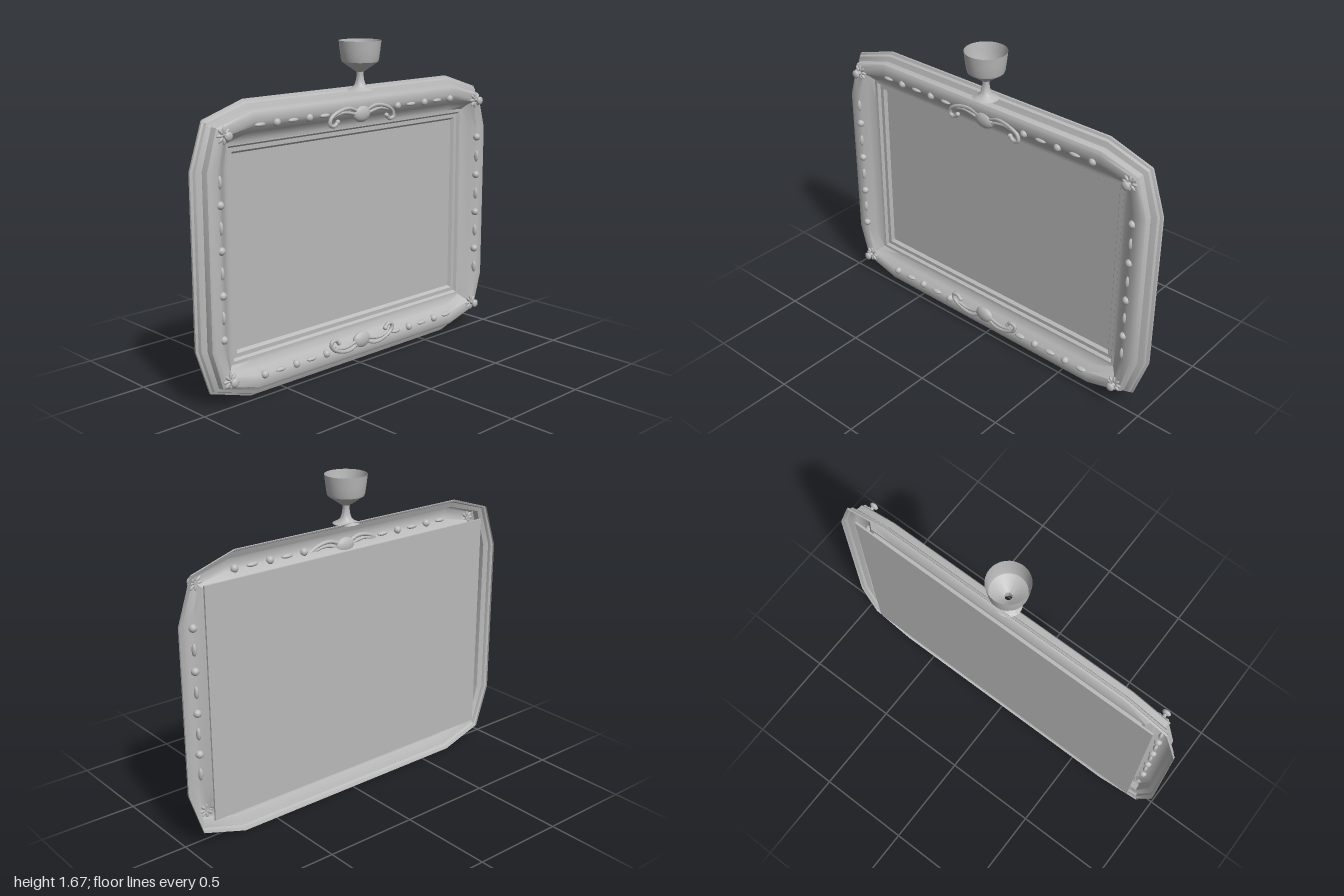
import * as THREE from 'three';
import { toCreasedNormals } from 'three/addons/utils/BufferGeometryUtils.js';

const MID = 0.72; // height of the frame's centre

export function createModel() {
  const model = new THREE.Group();
  const grey = new THREE.MeshStandardMaterial({ color: 0xbababa, side: THREE.DoubleSide });
  grey.name = 'plain grey';

  const add = (name, geometry, x = 0, y = 0, z = 0, parent = model) => {
    const mesh = new THREE.Mesh(geometry, grey);
    mesh.name = name;
    mesh.position.set(x, y, z);
    parent.add(mesh);
    return mesh;
  };

  // Moulding: [inset from the outer edge, z], from the back rim to the opening
  const profile = [
    [0, -0.06], [0, -0.05], [0.012, -0.045], [0.018, -0.032], [0.045, -0.022],
    [0.05, 0.01], [0.065, 0.019], [0.1, 0.02], [0.12, 0.014], [0.15, -0.016],
    [0.185, -0.036], [0.205, -0.036], [0.215, -0.05], [0.235, -0.05], [0.248, -0.068],
  ];
  // Twelve-sided ring whose clipped corners sharpen towards the opening
  const ring = (d) => {
    const hx = 1 - d, hy = MID - d, c = 0.075 * Math.max(0, 1 - d / 0.2);
    const pts = [];
    for (const [sx, sy] of [[1, 1], [-1, 1], [-1, -1], [1, -1]]) {
      const corner = [[hx, 0.42], [hx - c, hy - c], [0.69, hy]];
      if (sx * sy < 0) corner.reverse();
      for (const [x, y] of corner) pts.push([sx * x, MID + sy * y]);
    }
    return pts;
  };
  const positions = [], indices = [], n = 12;
  profile.forEach(([d, z], i) => {
    ring(d).forEach(([x, y], j) => {
      positions.push(x, y, z);
      if (i === profile.length - 1) return;
      const a = i * n + j, b = i * n + (j + 1) % n;
      indices.push(a, b, b + n, a, b + n, a + n);
    });
  });
  const frame = new THREE.BufferGeometry();
  frame.setAttribute('position', new THREE.Float32BufferAttribute(positions, 3));
  frame.setIndex(indices);
  add('frameMoulding', toCreasedNormals(frame, 0.55));

  // Flat panel behind the opening
  add('backPanel', new THREE.BoxGeometry(1.74, 1.18, 0.01), 0, MID, -0.071);

  // Alternating round and long beads along the four sides
  const sphere = new THREE.SphereGeometry(1, 16, 10);
  const bead = (x, y, round, vertical) => {
    const m = add(round ? 'roundBead' : 'longBead', sphere, x, y, 0.014);
    if (round) m.scale.setScalar(0.02);
    else m.scale.set(vertical ? 0.011 : 0.032, vertical ? 0.032 : 0.011, 0.015);
  };
  for (let i = 0; i < 14; i++) {
    const x = -0.65 + i * 0.1;
    if (Math.abs(x) < 0.2) continue;
    bead(x, 1.325, i % 2 === 1, false);
    bead(x, 0.117, i % 2 === 0, false);
  }
  for (let i = 0; i < 8; i++) {
    const y = 1.09 - i * 0.106;
    bead(0.885, y, i % 2 === 0, true);
    bead(-0.887, y, i % 2 === 1, true);
  }

  // Oval medallions with curling scrolls at top and bottom centre
  const tube = (points, r) => new THREE.TubeGeometry(
    new THREE.CatmullRomCurve3(points.map((p) => new THREE.Vector3(...p))), 36, r, 8);
  const scrollPaths = (s) => [
    tube([[0.03 * s, 0.015, 0.012], [0.09 * s, 0.035, 0.016], [0.16 * s, 0.025, 0.018],
      [0.212 * s, -0.005, 0.018], [0.218 * s, -0.035, 0.018], [0.19 * s, -0.043, 0.018],
      [0.168 * s, -0.024, 0.018]], 0.01),
    tube([[0.03 * s, -0.005, 0.012], [0.08 * s, 0.01, 0.014], [0.13 * s, 0.016, 0.014],
      [0.185 * s, 0.005, 0.014]], 0.008),
  ];
  for (const [name, y, flip] of [['topOrnament', 1.31, 0], ['bottomOrnament', 0.13, Math.PI]]) {
    const ornament = new THREE.Group();
    ornament.name = name;
    ornament.position.set(0, y, 0);
    const scrolls = new THREE.Group();
    scrolls.name = 'scrolls';
    for (const s of [1, -1]) {
      for (const g of scrollPaths(s)) add('scroll', g, 0, 0, 0, scrolls);
      add('scrollTip', sphere, 0.168 * s, -0.024, 0.018, scrolls).scale.setScalar(0.012);
    }
    // half turn in the plane of the frame points the curls towards the centre
    scrolls.rotation.z = flip;
    ornament.add(scrolls);
    add('medallion', sphere, 0, 0, 0.01, ornament).scale.set(0.057, 0.043, 0.024);
    model.add(ornament);
  }

  // Corner rosettes: eight petals, a short stem and a knob
  const petal = new THREE.SphereGeometry(1, 10, 6);
  for (const sx of [1, -1]) for (const sy of [1, -1]) {
    const rosette = new THREE.Group();
    rosette.name = 'cornerRosette';
    rosette.position.set(0.858 * sx, MID + 0.578 * sy, 0.02);
    for (let k = 0; k < 8; k++) {
      const a = k * Math.PI / 4;
      const p = add('petal', petal, Math.cos(a) * 0.023, Math.sin(a) * 0.023, 0, rosette);
      p.rotation.z = a;
      p.scale.set(0.02, 0.008, 0.008);
    }
    const stem = add('stem', new THREE.CylinderGeometry(0.007, 0.012, 0.04, 10), 0, 0, 0.012, rosette);
    stem.rotation.x = Math.PI / 2;
    add('knob', sphere, 0, 0, 0.033, rosette).scale.set(0.022, 0.022, 0.012);
    model.add(rosette);
  }

  // Open goblet standing on the top edge
  const goblet = [
    [0.066, 1.427], [0.045, 1.437], [0.028, 1.452], [0.021, 1.475], [0.017, 1.5], [0.018, 1.517],
    [0.03, 1.524], [0.06, 1.545], [0.09, 1.566], [0.094, 1.58], [0.1, 1.625], [0.105, 1.67],
  ].map(([r, y]) => new THREE.Vector2(r, y));
  add('goblet', toCreasedNormals(new THREE.LatheGeometry(goblet, 32), 0.6));

  return model;
}
